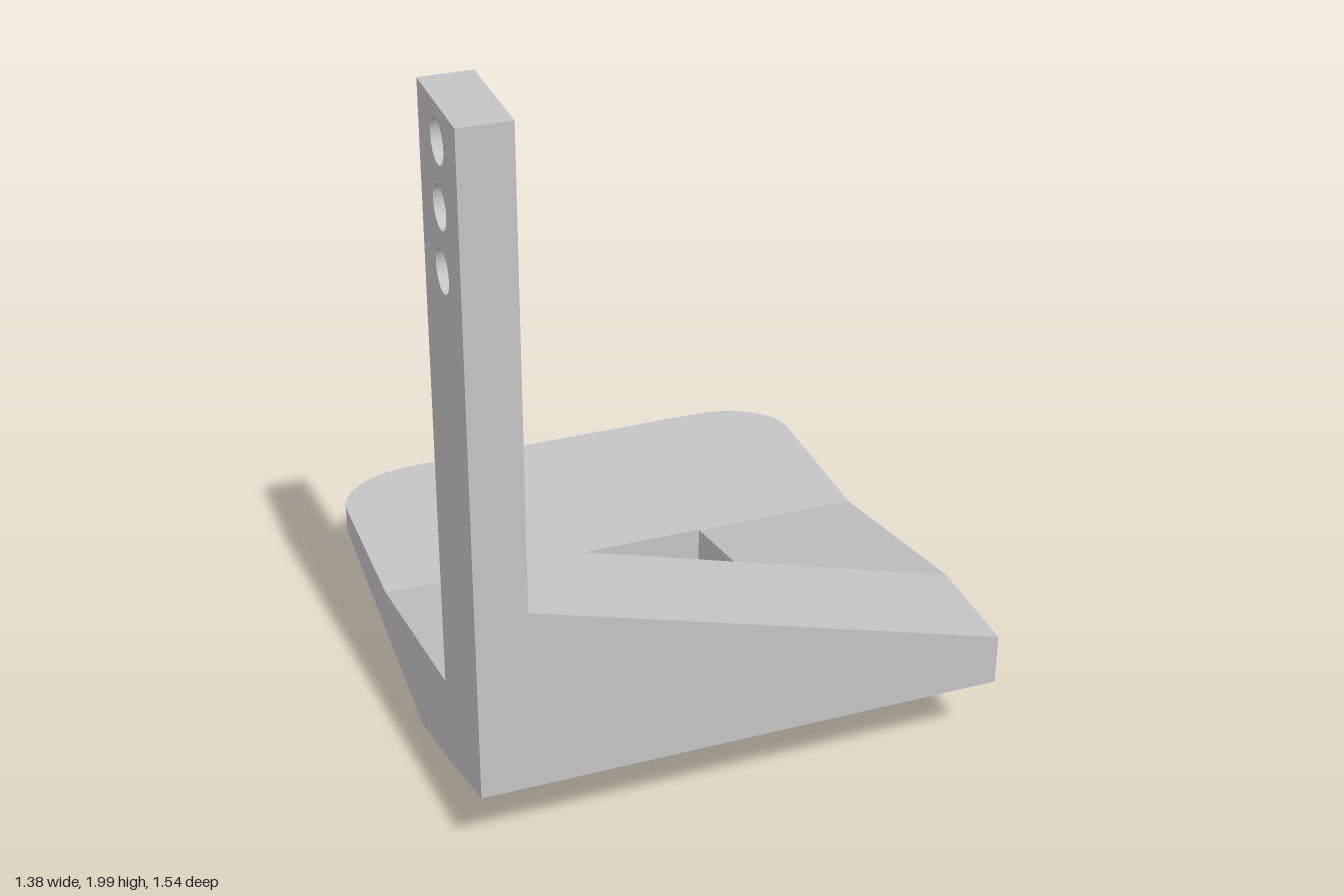
import * as THREE from 'three';
import { toCreasedNormals } from 'three/addons/utils/BufferGeometryUtils.js';

const W = 0.69, FRONT = 0.77, WALL = 0.47, BACK = -0.77;
const clamp = THREE.MathUtils.clamp;
const arc = (x, r) => Math.sqrt(Math.max(0, 1 - (x / r) ** 2));

// heights of the plate: flat then sloping top; ramp and shallow barrel underneath
const topY = (x, z) => 0.255 + Math.max(0, (z + 0.15) / 0.62) * 0.135;
const ramp = z => 0.145 + (z - WALL) * 0.304;
const barrel = (x, z) => 0.005 + (0.01 - z) * 0.139 + Math.max(0, -0.6 - z) * 0.21 + 0.085 * (x / W) ** 2;
const botY = (x, z) => Math.max(ramp(z), barrel(x, z));
const creaseZ = x => (barrel(x, 0) - ramp(0)) / (0.304 + 0.139);
const ceilY = () => 0.2;

// plan outline with rounded back corners
const backZ = x => Math.abs(x) <= 0.45 ? BACK : -0.6 - 0.17 * arc(Math.abs(x) - 0.45, 0.24);

// openings, each as a z interval over x
const slot = { c: 0, r: 0.228, lo: () => -0.155, hi: x => 0.28 + 0.185 * arc(x, 0.228) };
const sockets = [-0.33, 0, 0.33].map(c => ({
  c, r: 0.055,
  lo: x => -0.446 - 0.055 * arc(x - c, 0.055),
  hi: x => -0.446 + 0.055 * arc(x - c, 0.055),
}));
const covers = (o, x) => Math.abs(x - o.c) < o.r;

// x stations follow every curved edge
function stations() {
  const xs = [];
  for (let i = 0; i <= 12; i++) xs.push(-W + (2 * W * i) / 12);
  for (let i = 0; i <= 8; i++) {
    const s = 0.45 + 0.24 * Math.sin((i / 8) * Math.PI / 2);
    xs.push(s, -s);
  }
  for (const o of [slot, ...sockets])
    for (let i = 0; i <= 16; i++) xs.push(o.c - o.r * Math.cos((i / 16) * Math.PI));
  xs.sort((a, b) => a - b);
  return xs.filter((x, i) => i === 0 || x - xs[i - 1] > 1e-4);
}

// collects quads, dropping collapsed triangles
function collector() {
  const pos = [];
  const tri = (a, b, c) => {
    const n = b.clone().sub(a).cross(c.clone().sub(a));
    if (n.length() > 1e-9) for (const p of [a, b, c]) pos.push(p.x, p.y, p.z);
  };
  return {
    quad(a, b, c, d) { tri(a, b, c); tri(a, c, d); },
    geometry(crease) {
      const g = new THREE.BufferGeometry();
      g.setAttribute('position', new THREE.Float32BufferAttribute(pos, 3));
      return toCreasedNormals(g, crease);
    },
  };
}

const at = (f, x, z) => new THREE.Vector3(x, f(x, z), z);

// horizontal skin between two z curves, split at the given creases
function skin(out, f, xa, xb, lo, hi, breaks, up) {
  const line = x => [lo(x), ...breaks(x).map(z => clamp(z, lo(x), hi(x))), hi(x)];
  const za = line(xa), zb = line(xb);
  for (let i = 0; i + 1 < za.length; i++) {
    const q = [at(f, xa, za[i]), at(f, xa, za[i + 1]), at(f, xb, zb[i + 1]), at(f, xb, zb[i])];
    out.quad(...(up ? q : q.reverse()));
  }
}

// upright wall from (xa,za) to (xb,zb), facing right of travel
function wall(out, xa, za, xb, zb, low, high) {
  out.quad(at(low, xa, za), at(low, xb, zb), at(high, xb, zb), at(high, xa, za));
}

// straight wall running along z at constant x
function sideWall(out, x, z0, z1, reverse) {
  const zs = [-0.6, -0.15, creaseZ(x)].filter(z => z > z0 && z < z1);
  const line = [z0, ...zs, z1].sort((a, b) => a - b);
  if (reverse) line.reverse();
  for (let i = 0; i + 1 < line.length; i++) wall(out, x, line[i], x, line[i + 1], botY, topY);
}

function buildPlate() {
  const top = collector(), bottom = collector(), rim = collector(), holes = collector();
  const xs = stations(), front = () => WALL;
  const topBreaks = () => [-0.15];
  const bottomBreaks = x => [-0.6, creaseZ(x)];

  for (let i = 0; i + 1 < xs.length; i++) {
    const a = xs[i], b = xs[i + 1], m = (a + b) / 2;
    const inSlot = covers(slot, m), socket = sockets.find(o => covers(o, m));
    const bands = cuts => {
      const edges = [backZ, ...cuts.flatMap(o => [o.lo, o.hi]), front];
      return edges.flatMap((e, k) => (k % 2 ? [] : [[e, edges[k + 1]]]));
    };
    const through = inSlot ? [slot] : [];
    for (const [lo, hi] of bands(through)) skin(top, topY, a, b, lo, hi, topBreaks, true);
    for (const [lo, hi] of bands(socket ? [socket, ...through] : through))
      skin(bottom, botY, a, b, lo, hi, bottomBreaks, false);

    wall(rim, b, backZ(b), a, backZ(a), botY, topY);
    if (inSlot) {
      wall(rim, a, slot.lo(a), b, slot.lo(b), botY, topY);
      wall(rim, b, slot.hi(b), a, slot.hi(a), botY, topY);
    }
    if (socket) {
      wall(holes, a, socket.lo(a), b, socket.lo(b), botY, ceilY);
      wall(holes, b, socket.hi(b), a, socket.hi(a), botY, ceilY);
      skin(holes, ceilY, a, b, socket.lo, socket.hi, () => [], false);
    }
  }
  // outer sides and slot sides
  for (const s of [-1, 1]) {
    sideWall(rim, s * W, -0.6, WALL, s > 0);
    sideWall(rim, s * slot.r, -0.155, 0.28, s < 0);
  }
  return {
    plateTop: top.geometry(0.15),
    plateUnderside: bottom.geometry(0.15),
    plateRim: rim.geometry(0.5),
    undersideSockets: holes.geometry(0.5),
  };
}

// sloping front wall whose underside continues the ramp
function buildFrontWall() {
  const shape = new THREE.Shape([[-W, 0.25], [W, 0.25], [W, 0.39], [-0.56, 0.76], [-W, 0.76]]
    .map(p => new THREE.Vector2(...p)));
  const g = new THREE.ExtrudeGeometry(shape, { depth: FRONT - WALL, bevelEnabled: false });
  g.translate(0, 0, WALL);
  const p = g.attributes.position;
  for (let i = 0; i < p.count; i++)
    if (p.getY(i) < 0.26 && p.getZ(i) < WALL + 0.01) p.setY(i, 0.145);
  g.computeVertexNormals();
  return g;
}

// tall post with three round holes across it
function buildPost() {
  const shape = new THREE.Shape([[-FRONT, 0.76], [-WALL, 0.76], [-WALL, 2], [-FRONT, 2]]
    .map(p => new THREE.Vector2(...p)));
  for (const y of [1.6, 1.755, 1.91])
    shape.holes.push(new THREE.Path().absarc(-0.62, y, 0.053, 0, Math.PI * 2, true));
  const g = new THREE.ExtrudeGeometry(shape, { depth: 0.13, bevelEnabled: false, curveSegments: 28 });
  g.rotateY(Math.PI / 2).translate(-W, 0, 0);
  return toCreasedNormals(g, 0.5);
}

export function createModel() {
  const grey = new THREE.MeshStandardMaterial({ color: 0xc4c4c4 });
  grey.name = 'light grey';
  const model = new THREE.Group();
  model.name = 'bracket';
  const parts = { ...buildPlate(), frontWall: buildFrontWall(), post: buildPost() };
  for (const [name, geometry] of Object.entries(parts)) {
    const mesh = new THREE.Mesh(geometry, grey);
    mesh.name = name;
    model.add(mesh);
  }
  return model;
}
